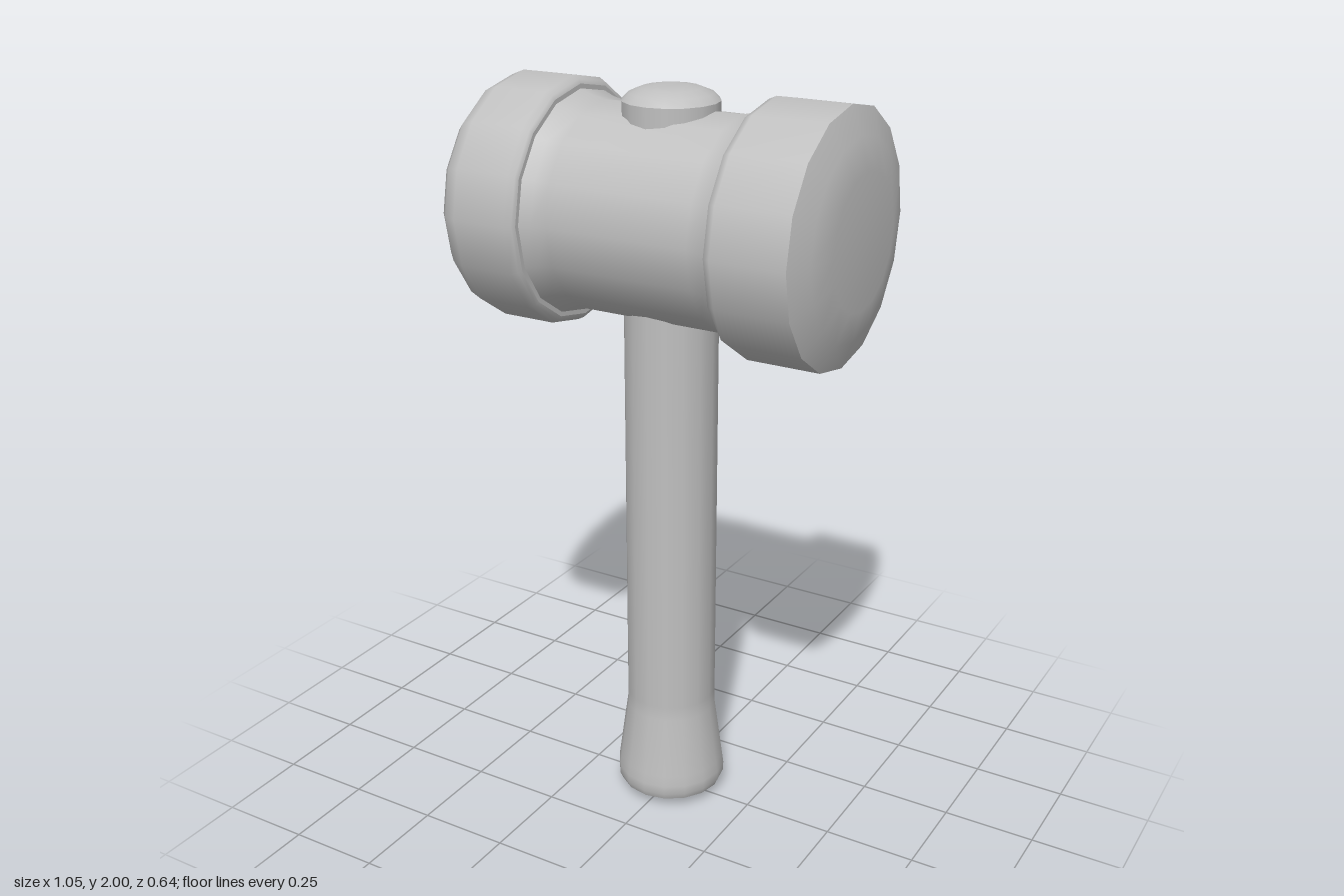
import * as THREE from 'three';

export function createModel() {
  const model = new THREE.Group();
  const grey = new THREE.MeshStandardMaterial({ color: 0xc0c0c0 });
  grey.name = 'plain grey';

  // Each strip of [radius, height] points is smooth; the joins between strips stay sharp.
  function turned(name, strips) {
    const group = new THREE.Group();
    group.name = name;
    for (const strip of strips) {
      const points = strip.map(([r, h]) => new THREE.Vector2(r, h));
      const mesh = new THREE.Mesh(new THREE.LatheGeometry(points, 16), grey);
      mesh.name = name + 'Surface';
      group.add(mesh);
    }
    return group;
  }

  // Head, turned about y and then laid along x
  const head = new THREE.Group();
  head.name = 'head';
  head.position.y = 1.68;
  head.rotation.z = -Math.PI / 2;
  head.add(
    turned('roundedFace', [
      [[0, -0.525], [0.17, -0.525], [0.22, -0.517], [0.275, -0.5], [0.305, -0.472],
        [0.32, -0.435], [0.32, -0.285], [0.311, -0.268], [0.3, -0.263]],
      [[0.3, -0.263], [0.28, -0.263]],
    ]),
    turned('barrel', [
      [[0.288, -0.263], [0.277, -0.235], [0.268, -0.195], [0.268, 0.195],
        [0.277, 0.235], [0.288, 0.263]],
    ]),
    turned('flatFace', [
      [[0.28, 0.263], [0.3, 0.263]],
      [[0.3, 0.263], [0.311, 0.265], [0.32, 0.285], [0.32, 0.48]],
      [[0.32, 0.48], [0.25, 0.506], [0.17, 0.525], [0, 0.525]],
    ])
  );
  model.add(head);

  // Handle runs through the head and ends in a low dome above it
  model.add(turned('handle', [
    [[0, 0.005], [0.07, 0.005], [0.105, 0.016], [0.143, 0.036]],
    [[0.143, 0.036], [0.151, 0.055], [0.151, 0.08], [0.147, 0.11], [0.124, 0.28],
      [0.123, 0.32], [0.123, 1.965]],
    [[0.123, 1.965], [0.105, 1.983], [0.075, 1.995], [0.04, 2], [0, 2]],
  ]));

  return model;
}
